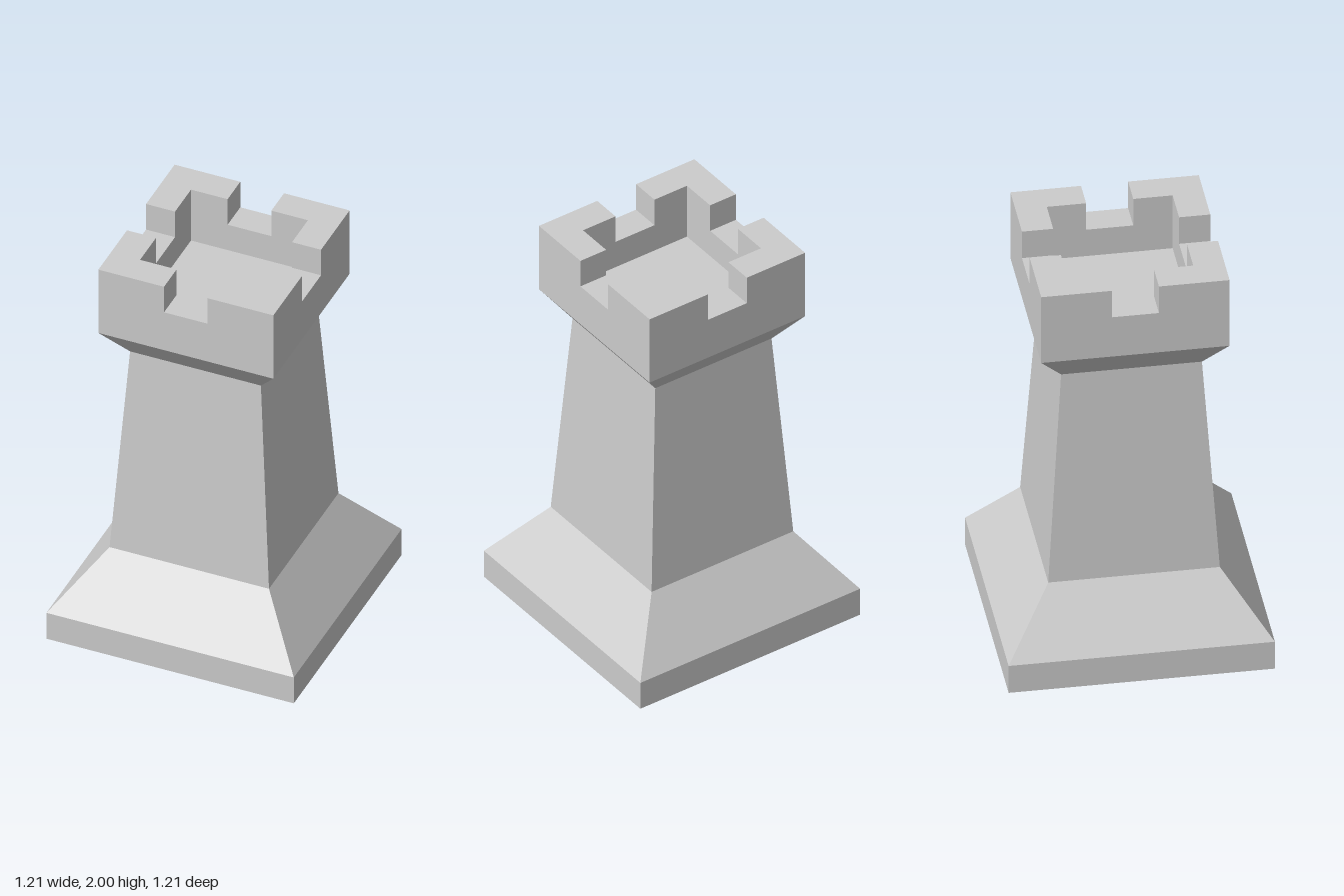
import * as THREE from 'three';

const material = new THREE.MeshStandardMaterial({ color: 0xcccccc, flatShading: true });

// Square part from a profile of [half width, height], listed from the bottom outside to the top inside
function squareLathe(name, profile) {
  const points = profile.map(([half, y]) => new THREE.Vector2(half * Math.SQRT2, y));
  const geometry = new THREE.LatheGeometry(points, 4, Math.PI / 4).toNonIndexed();
  geometry.computeVertexNormals();
  const mesh = new THREE.Mesh(geometry, material);
  mesh.name = name;
  return mesh;
}

export function createModel() {
  const model = new THREE.Group();
  model.name = 'rook';

  const outer = 0.428, inner = 0.286, gap = 0.107; // parapet half widths and half the notch
  const sill = 1.857, floor = 1.715, top = 2;

  // Plinth with its sloping foot
  model.add(squareLathe('base', [[0, 0], [0.605, 0], [0.605, 0.145], [0.39, 0.43]]));

  // Tapering tower
  model.add(squareLathe('shaft', [[0.39, 0.43], [0.32, 1.5]]));

  // Flared crown, low wall and sunken floor
  model.add(squareLathe('crown', [
    [0.32, 1.5], [outer, 1.645], [outer, sill], [inner, sill], [inner, floor], [0, floor],
  ]));

  // L-shaped corner battlements
  const corner = new THREE.Shape([
    [gap, inner], [inner, inner], [inner, gap], [outer, gap], [outer, outer], [gap, outer],
  ].map(([x, y]) => new THREE.Vector2(x, y)));
  const merlonGeometry = new THREE.ExtrudeGeometry(corner, { depth: top - sill, bevelEnabled: false });
  merlonGeometry.rotateX(-Math.PI / 2).translate(0, sill, 0);
  for (let i = 0; i < 4; i++) {
    const merlon = new THREE.Mesh(merlonGeometry, material);
    merlon.name = `battlement${i + 1}`;
    merlon.rotation.y = i * Math.PI / 2;
    model.add(merlon);
  }

  return model;
}
